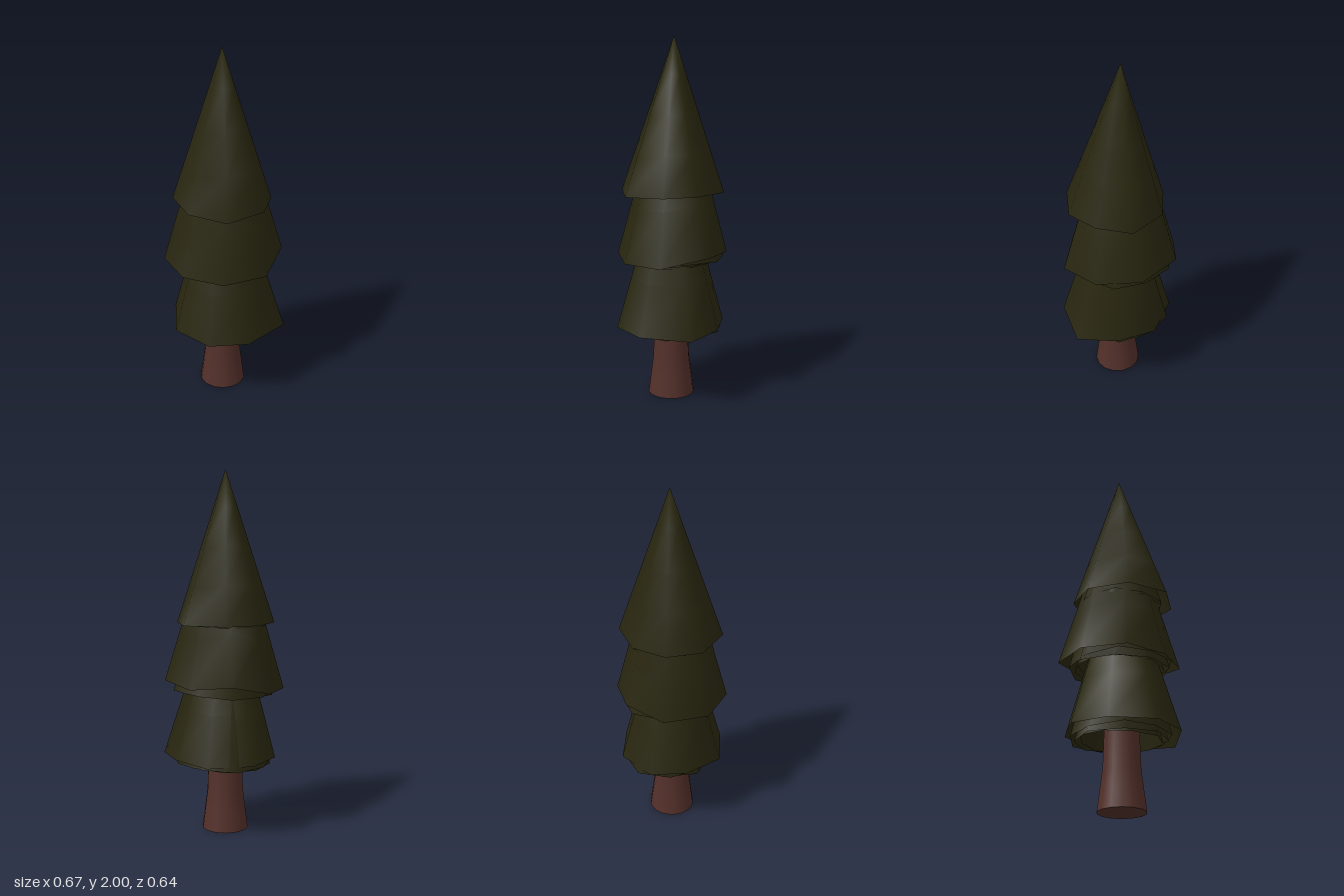
import * as THREE from 'three';

const foliage = new THREE.MeshStandardMaterial({ color: 0x28260f, side: THREE.DoubleSide });
foliage.name = 'darkFoliage';
const bark = new THREE.MeshStandardMaterial({ color: 0x53302a });
bark.name = 'brownBark';

// Open cone from an apex down to an uneven rim of [x, y, z] points
// (rim runs from +x towards +z).
function skirt(name, apex, rim) {
  const rows = 4;
  const n = rim.length;
  const pos = [...apex];
  const index = [];
  for (let r = 1; r <= rows; r++) {
    for (const p of rim) {
      for (let k = 0; k < 3; k++) pos.push(apex[k] + (p[k] - apex[k]) * r / rows);
    }
  }
  for (let i = 0; i < n; i++) {
    const j = (i + 1) % n;
    index.push(0, 1 + j, 1 + i);
    for (let r = 1; r < rows; r++) {
      const a = 1 + (r - 1) * n;
      const b = a + n;
      index.push(a + i, a + j, b + j, a + i, b + j, b + i);
    }
  }
  const geo = new THREE.BufferGeometry();
  geo.setAttribute('position', new THREE.Float32BufferAttribute(pos, 3));
  geo.setIndex(index);
  geo.computeVertexNormals();
  const mesh = new THREE.Mesh(geo, foliage);
  mesh.name = name;
  return mesh;
}

// Slightly wavy, tilted rim for the inner layers
function wavyRim(n, radius, y, phase, wave) {
  return Array.from({ length: n }, (_, i) => {
    const a = phase + i / n * Math.PI * 2;
    const r = radius * (1 + 0.05 * Math.sin(i * 2.4 + phase));
    return [Math.cos(a) * r, y + wave * Math.sin(a + phase * 2), Math.sin(a) * r];
  });
}

const tiers = [
  {
    name: 'lowerBranches', apex: [-0.01, 1.5, 0.01],
    rim: [[0.335, 0.41, 0.12], [0.12, 0.41, 0.31], [-0.1, 0.41, 0.32], [-0.28, 0.41, 0.15],
      [-0.28, 0.43, -0.1], [-0.15, 0.42, -0.255], [0.1, 0.41, -0.26], [0.27, 0.42, -0.1]],
    inner: [[9, 0.27, 0.4, 0.3, 0.01], [8, 0.25, 0.385, 0.8, 0.015], [9, 0.22, 0.38, 1.5, 0.01]],
  },
  {
    name: 'middleBranches', apex: [-0.01, 1.95, 0],
    rim: [[0.325, 0.85, 0], [0.215, 0.8, 0.245], [-0.02, 0.79, 0.315], [-0.235, 0.8, 0.23],
      [-0.335, 0.8, 0.005], [-0.24, 0.81, -0.235], [-0.035, 0.86, -0.325], [0.19, 0.83, -0.215]],
    inner: [[9, 0.28, 0.8, 0.4, 0.015], [8, 0.26, 0.785, 1.0, 0.015], [9, 0.23, 0.785, 1.7, 0.01]],
  },
  {
    name: 'topBranches', apex: [-0.01, 2, 0],
    rim: [[0.255, 1.17, 0.03], [0.2, 1.17, 0.21], [0, 1.16, 0.32], [-0.2, 1.17, 0.22],
      [-0.28, 1.17, 0], [-0.19, 1.17, -0.18], [0, 1.17, -0.25], [0.22, 1.17, -0.17]],
    inner: [[9, 0.235, 1.165, 0.5, 0.005], [8, 0.225, 1.16, 1.1, 0.006]],
  },
];

export function createModel() {
  const tree = new THREE.Group();
  tree.name = 'pineTree';

  // Trunk flaring towards the ground
  const profile = [[0, 0], [0.13, 0], [0.13, 0], [0.117, 0.1], [0.102, 0.22], [0.096, 0.4], [0.09, 0.7], [0, 0.7]];
  const trunk = new THREE.Mesh(
    new THREE.LatheGeometry(profile.map(([r, y]) => new THREE.Vector2(r, y)), 14), bark);
  trunk.name = 'trunk';
  trunk.position.set(-0.01, 0, 0.02);
  tree.add(trunk);

  // Each tier is an outer skirt over smaller ragged layers
  for (const t of tiers) {
    const tier = new THREE.Group();
    tier.name = t.name;
    tier.add(skirt('outerSkirt', t.apex, t.rim));
    t.inner.forEach((args, i) => {
      const apex = [t.apex[0], t.apex[1] - 0.06 * (i + 1), t.apex[2]];
      tier.add(skirt('innerSkirt' + (i + 1), apex, wavyRim(...args)));
    });
    tree.add(tier);
  }
  return tree;
}
